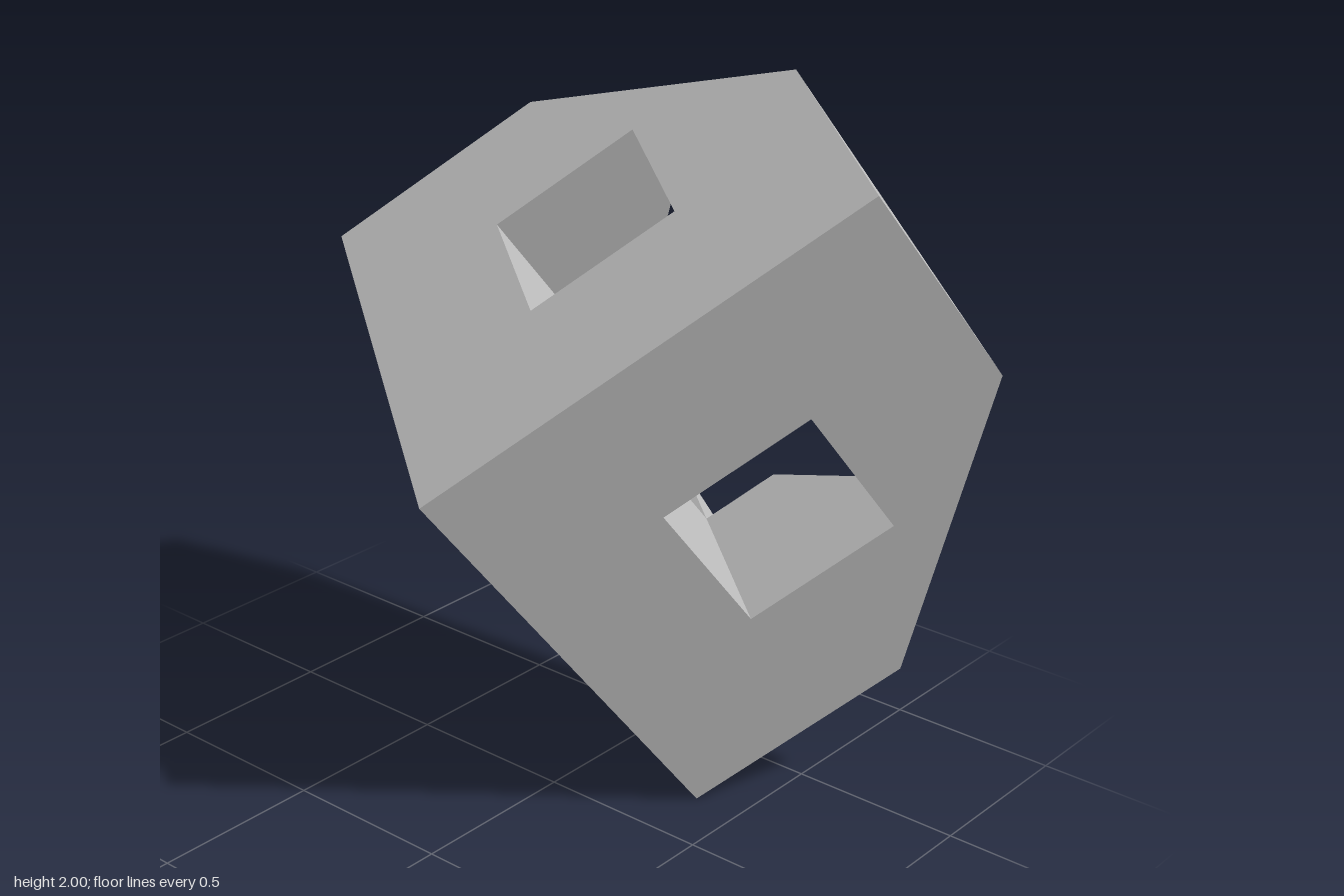
import * as THREE from 'three';

// The solid is half of a cube pierced by three square tunnels, cut across its long diagonal.
// Points are given in cube coordinates: 0..3 along each edge, starting at the front corner.
const R = 2 / (Math.cos(Math.PI / 12) * (1 + Math.sqrt(3) / 2)); // edge length as seen from the front
const DEPTH = R / Math.SQRT2;                                     // depth of one edge
const CORNER = new THREE.Vector3(R * Math.cos(Math.PI / 12) - 1, R * Math.cos(Math.PI / 12), DEPTH * 0.75);
const AXES = [45, 165, 285].map((deg) => {
  const a = THREE.MathUtils.degToRad(deg);
  return new THREE.Vector3(R * Math.cos(a), R * Math.sin(a), -DEPTH).divideScalar(3);
});
const TURNS = [[0, 1, 2], [1, 2, 0], [2, 0, 1]];
const ALL = [...TURNS, [0, 2, 1], [2, 1, 0], [1, 0, 2]];

const combine = (p) => AXES.reduce((v, axis, i) => v.addScaledVector(axis, p[i]), new THREE.Vector3());
const toWorld = (p) => combine(p).add(CORNER);

// Reorders the coordinates of a point so one face can serve several sides of the cube
function permute(p, order) {
  const q = [0, 0, 0];
  order.forEach((axis, i) => { q[axis] = p[i]; });
  return q;
}

// Flat polygon with an optional hole, facing the given direction
function addFace(positions, outline, hole, facing, order = TURNS[0]) {
  const drop = facing.findIndex((n) => n !== 0);
  const flat = (pts) => pts.map((p) => new THREE.Vector2(...p.filter((_, i) => i !== drop)));
  const points = [...outline, ...hole].map((p) => toWorld(permute(p, order)));
  const normal = combine(permute(facing, order));
  const triangles = THREE.ShapeUtils.triangulateShape(flat(outline), hole.length ? [flat(hole)] : []);
  for (const tri of triangles) {
    let [a, b, c] = tri.map((i) => points[i]);
    const n = b.clone().sub(a).cross(c.clone().sub(a));
    if (n.dot(normal) < 0) [b, c] = [c, b];
    for (const v of [a, b, c]) positions.push(v.x, v.y, v.z);
  }
}

export function createModel() {
  const group = new THREE.Group();
  group.name = 'halfPiercedCube';
  const grey = new THREE.MeshStandardMaterial({ color: 0xc0c0c0 });
  grey.name = 'grey';

  const addMesh = (name, build) => {
    const positions = [];
    build(positions);
    const geometry = new THREE.BufferGeometry();
    geometry.setAttribute('position', new THREE.Float32BufferAttribute(positions, 3));
    geometry.computeVertexNormals();
    const mesh = new THREE.Mesh(geometry, grey);
    mesh.name = name;
    group.add(mesh);
  };

  // Three large sides, each with a square opening and one corner cut off
  addMesh('outerSides', (out) => {
    const outline = [[0, 0, 0], [3, 0, 0], [3, 1.5, 0], [1.5, 3, 0], [0, 3, 0]];
    const opening = [[1, 1, 0], [1, 2, 0], [2, 2, 0], [2, 1, 0]];
    for (const order of TURNS) addFace(out, outline, opening, [0, 0, -1], order);
  });

  // Three triangles left over from the far sides
  addMesh('farCorners', (out) => {
    for (const order of TURNS) addFace(out, [[0, 0, 3], [1.5, 0, 3], [0, 1.5, 3]], [], [0, 0, 1], order);
  });

  // Tunnel walls: full inner wall, clipped outer wall, and the tip beyond the centre
  addMesh('tunnelWalls', (out) => {
    for (const order of ALL) {
      addFace(out, [[1, 1, 0], [1, 2, 0], [1, 2, 1], [1, 1, 1]], [], [1, 0, 0], order);
      addFace(out, [[2, 1, 0], [2, 2, 0], [2, 2, 0.5], [2, 1.5, 1], [2, 1, 1]], [], [-1, 0, 0], order);
      addFace(out, [[1, 1, 2], [1, 1.5, 2], [1, 1, 2.5]], [], [1, 0, 0], order);
    }
  });

  // Hexagonal cut at the back with a six-pointed star opening
  addMesh('cutFace', (out) => {
    const hexagon = [];
    const star = [];
    for (const order of TURNS) {
      hexagon.push(permute([3, 1.5, 0], order), permute([1.5, 3, 0], order));
      star.push(...[[2.5, 1, 1], [2, 1.5, 1], [2, 2, 0.5], [1.5, 2, 1]].map((p) => permute(p, order)));
    }
    addFace(out, hexagon, star, [1, 1, 1]);
  });

  return group;
}
